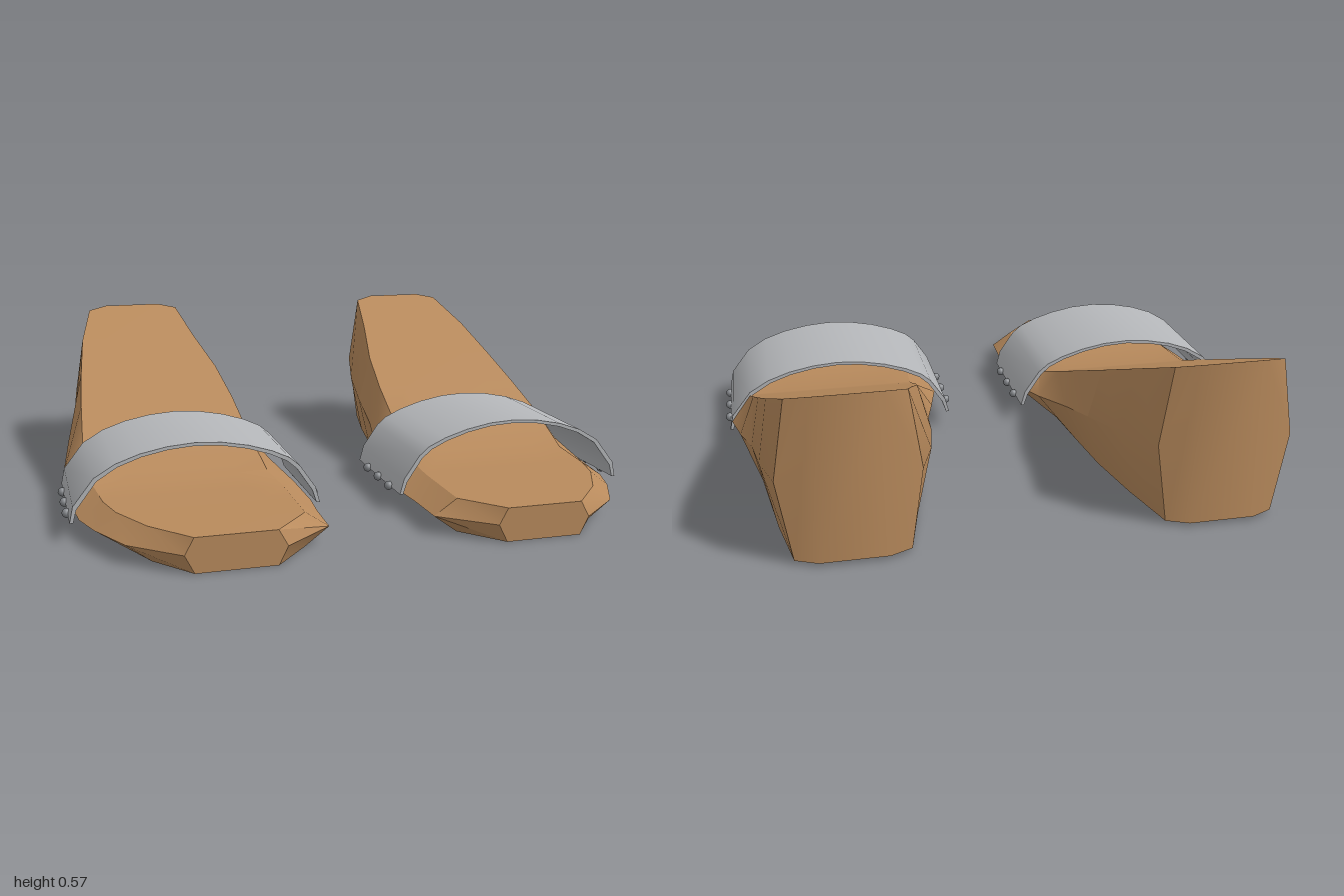
import * as THREE from 'three';
import { toCreasedNormals } from 'three/addons/utils/BufferGeometryUtils.js';

const tan = new THREE.MeshStandardMaterial({ color: 0xb88a5c });
tan.name = 'tan sole';
const silver = new THREE.MeshStandardMaterial({ color: 0xb4b6b9 });
silver.name = 'silver strap';
const grey = new THREE.MeshStandardMaterial({ color: 0x85888c });
grey.name = 'grey studs';

// Sole stations, toe to heel: z, heights of base / rim / top,
// then inner and outer x of base, rim and top
const STATIONS = [
  [0.88, 0, 0.06, 0.115, 0.38, 0.64, 0.35, 0.67, 0.38, 0.64],
  [0.74, 0, 0.06, 0.115, 0.26, 0.75, 0.18, 0.83, 0.26, 0.76],
  [0.58, 0, 0.06, 0.115, 0.26, 0.82, 0.175, 0.91, 0.26, 0.84],
  [0.46, 0, 0.06, 0.115, 0.26, 0.85, 0.165, 0.95, 0.26, 0.87],
  [0.25, 0, 0.065, 0.117, 0.27, 0.87, 0.17, 0.97, 0.27, 0.89],
  [0.04, 0, 0.10, 0.20, 0.29, 0.87, 0.214, 0.973, 0.29, 0.90],
  [-0.19, 0.003, 0.15, 0.292, 0.31, 0.86, 0.262, 0.94, 0.305, 0.885],
  [-0.40, 0.006, 0.20, 0.376, 0.33, 0.85, 0.283, 0.90, 0.33, 0.866],
  [-0.63, 0.009, 0.245, 0.468, 0.37, 0.83, 0.32, 0.877, 0.38, 0.84],
  [-0.855, 0.012, 0.29, 0.558, 0.42, 0.79, 0.38, 0.835, 0.42, 0.79],
];

// Swaps and negates an inner/outer pair for the right shoe
const span = (a, b, s) => (s > 0 ? [a, b] : [-b, -a]);

function soleGeometry(s) {
  const rings = STATIONS.map(([z, yb, ym, yt, b0, b1, m0, m1, t0, t1], i) => {
    const heel = i === STATIONS.length - 1;
    const push = heel ? 0.033 : 0; // the middle of the heel bows backwards
    const [bl, bh] = span(b0, b1, s), [ml, mh] = span(m0, m1, s), [tl, th] = span(t0, t1, s);
    const at = (lo, hi, k) => lo + (hi - lo) * k;
    const y = yt + push * 0.4;
    return [
      [tl, yt, z], [at(tl, th, 0.2), y, z - push], [at(tl, th, 0.8), y, z - push], [th, yt, z],
      [mh, ym, z],
      [bh, yb, z], [at(bl, bh, 0.8), yb, z - push], [at(bl, bh, 0.2), yb, z - push], [bl, yb, z],
      [ml, ym, z],
    ];
  });
  const pos = [];
  const tri = (a, b, c) => pos.push(...a, ...b, ...c);
  const n = 10;
  for (let i = 0; i < rings.length - 1; i++) {
    const a = rings[i], b = rings[i + 1];
    for (let j = 0; j < n; j++) {
      const k = (j + 1) % n;
      tri(a[j], a[k], b[k]);
      tri(a[j], b[k], b[j]);
    }
  }
  // Toe and heel caps
  const capTris = [[1, 2, 6], [1, 6, 7], [2, 3, 4], [2, 4, 5], [2, 5, 6], [1, 7, 8], [1, 8, 9], [1, 9, 0]];
  const toe = rings[0], heel = rings[rings.length - 1];
  for (const [p, q, r] of capTris) {
    tri(toe[p], toe[r], toe[q]);
    tri(heel[p], heel[q], heel[r]);
  }
  const g = new THREE.BufferGeometry();
  g.setAttribute('position', new THREE.Float32BufferAttribute(pos, 3));
  return toCreasedNormals(g, 0.5);
}

// Strap arch, from the outer side over to the inner side
const ARCH = [
  [0.982, 0.065], [0.97, 0.12], [0.90, 0.21], [0.83, 0.252], [0.75, 0.28], [0.66, 0.298], [0.57, 0.305],
  [0.48, 0.3], [0.39, 0.283], [0.31, 0.258], [0.25, 0.23], [0.215, 0.2], [0.16, 0.12], [0.145, 0.065],
];

function strapGeometry(s) {
  const outer = ARCH.map(([x, y]) => new THREE.Vector2(s * x, y));
  const inner = ARCH.map(([x, y], i) => {
    const end = i === 0 || i === ARCH.length - 1;
    return new THREE.Vector2(s * (0.565 + (x - 0.565) * 0.972), end ? y : y - 0.011);
  }).reverse();
  const g = new THREE.ExtrudeGeometry(new THREE.Shape([...outer, ...inner]), { depth: 0.46, bevelEnabled: false });
  g.translate(0, 0, 0.045);
  return toCreasedNormals(g, 0.65);
}

function add(parent, name, geometry, material) {
  const mesh = new THREE.Mesh(geometry, material);
  mesh.name = name;
  parent.add(mesh);
  return mesh;
}

export function createModel() {
  const model = new THREE.Group();
  model.name = 'pairOfSandals';
  for (const s of [1, -1]) {
    const shoe = new THREE.Group();
    shoe.name = s > 0 ? 'leftSandal' : 'rightSandal';
    add(shoe, 'sole', soleGeometry(s), tan);
    add(shoe, 'strap', strapGeometry(s), silver);
    // Three studs along each lower strap edge
    for (const x of [0.985, 0.14]) {
      for (const z of [0.16, 0.28, 0.4]) {
        add(shoe, 'stud', new THREE.SphereGeometry(0.016, 12, 8), grey).position.set(s * x, 0.068, z);
      }
    }
    model.add(shoe);
  }
  return model;
}
